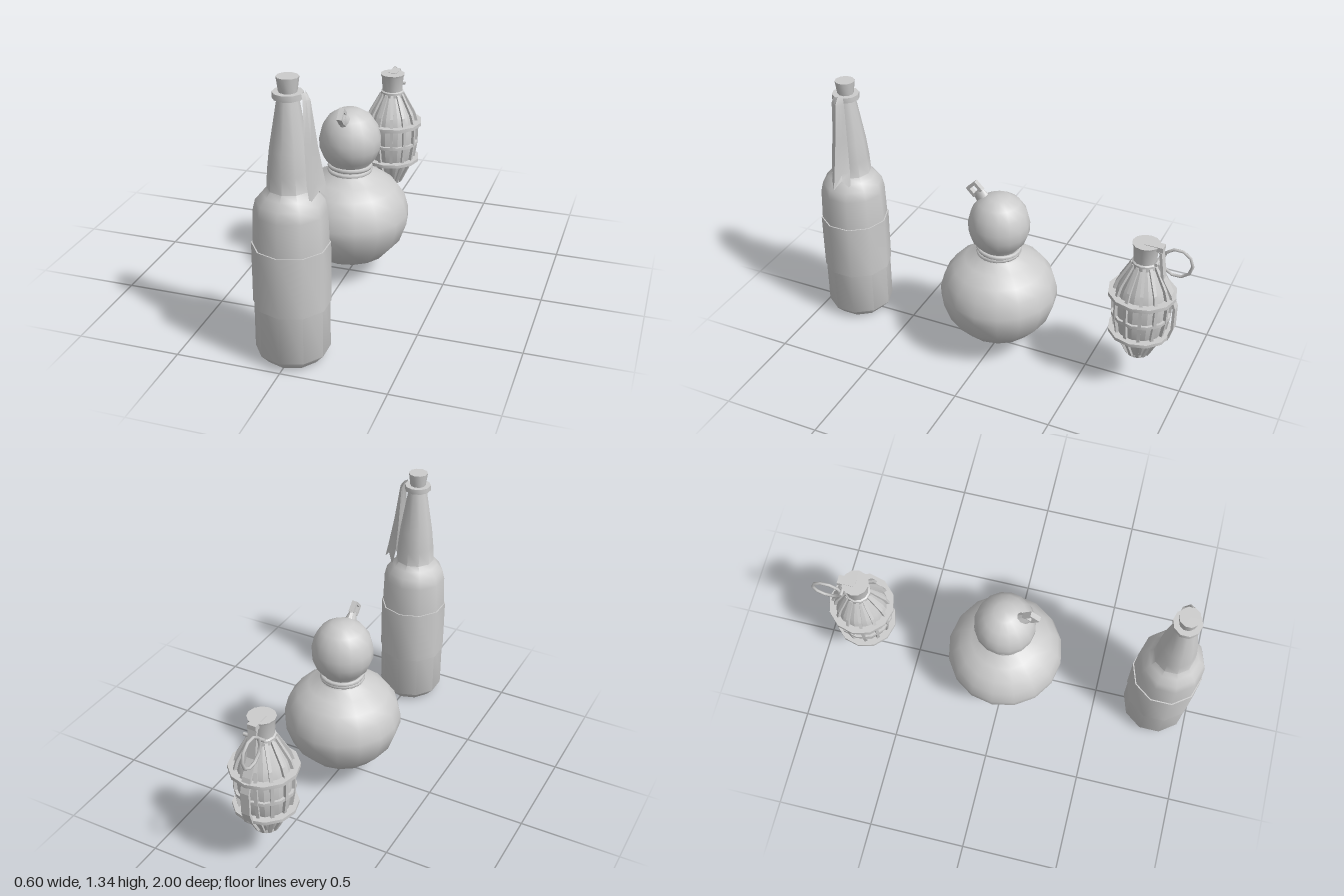
import * as THREE from 'three';
import { toCreasedNormals } from 'three/addons/utils/BufferGeometryUtils.js';

const grey = new THREE.MeshStandardMaterial({ color: 0xcccccc });
const cloth = new THREE.MeshStandardMaterial({ color: 0xcccccc, side: THREE.DoubleSide });
const vec = (list) => list.map(([x, y]) => new THREE.Vector2(x, y));

function add(parent, name, geometry, material = grey) {
  const mesh = new THREE.Mesh(geometry, material);
  mesh.name = name;
  parent.add(mesh);
  return mesh;
}

// Turned solid, profile given bottom to top as [radius, height]
const turned = (profile, sides, crease = 0.8) =>
  toCreasedNormals(new THREE.LatheGeometry(vec(profile), sides), crease);

// Square-edged hoop
const hoop = (inner, outer, y0, y1, sides) =>
  turned([[inner, y0], [outer, y0], [outer, y1], [inner, y1]], sides);

// Strip that follows a [radius, height] line, thickened outwards
function strip(line, thickness, width) {
  const outer = line.map(([r, y]) => [r + thickness, y]).reverse();
  const geometry = new THREE.ExtrudeGeometry(new THREE.Shape(vec([...line, ...outer])),
    { depth: width, bevelEnabled: false });
  return geometry.translate(0, 0, -width / 2);
}

// Folded cloth hanging beside the neck: rows of five points across the fold
function ragGeometry() {
  // [y, inner x, outer x, half width]
  const rows = [[1.28, 0.068, 0.078, 0.025], [1.25, 0.078, 0.1, 0.035],
    [1.05, 0.085, 0.13, 0.042], [0.88, 0.095, 0.163, 0.05], [0.8, 0.11, 0.178, 0.055]];
  const hem = [-0.005, 0.05, 0.01, 0.05, -0.005];
  const positions = [], index = [];
  rows.forEach(([y, inner, outer, half], i) => {
    for (let j = 0; j < 5; j++) {
      const t = (j - 2) / 2;
      const x = outer + (inner - outer) * Math.abs(t);
      positions.push(x, y + (i === rows.length - 1 ? hem[j] : 0), -t * half);
      if (i > 0 && j > 0) {
        const b = i * 5 + j, a = b - 5;
        index.push(a - 1, b - 1, a, a, b - 1, b);
      }
    }
  });
  const geometry = new THREE.BufferGeometry();
  geometry.setAttribute('position', new THREE.Float32BufferAttribute(positions, 3));
  geometry.setIndex(index);
  return toCreasedNormals(geometry, 0.5);
}

function createBottle() {
  const group = new THREE.Group();
  group.name = 'bottle';
  add(group, 'bottleGlass', turned([[0, 0], [0.13, 0], [0.171, 0.045], [0.171, 0.4], [0.17, 0.57],
    [0.164, 0.73], [0.152, 0.78], [0.122, 0.815], [0.101, 0.84], [0.096, 0.92], [0.085, 1.02],
    [0.047, 1.25]], 10));
  add(group, 'label', hoop(0.165, 0.176, 0.28, 0.572, 10));
  add(group, 'lip', hoop(0, 0.068, 1.248, 1.275, 10));
  add(group, 'cork', turned([[0, 1.27], [0.04, 1.27], [0.05, 1.342], [0, 1.342]], 10));
  add(group, 'rag', ragGeometry(), cloth);
  return group;
}

function createGourd() {
  const group = new THREE.Group();
  group.name = 'gourd';
  add(group, 'gourdBody', turned([[0, 0.085], [0.1, 0.087], [0.19, 0.125], [0.262, 0.205],
    [0.298, 0.305], [0.298, 0.35], [0.278, 0.425], [0.235, 0.485], [0.175, 0.53], [0.115, 0.56],
    [0.092, 0.583], [0.1, 0.605], [0.132, 0.64], [0.153, 0.695], [0.154, 0.745], [0.139, 0.805],
    [0.105, 0.855], [0.055, 0.886], [0, 0.892]], 16, 1.2));

  // Cord wound twice round the waist
  [[0.573, 0.04], [0.593, -0.05]].forEach(([y, tilt]) => {
    const cord = add(group, 'cord', new THREE.TorusGeometry(0.102, 0.012, 6, 20));
    cord.rotation.x = Math.PI / 2 + tilt;
    cord.position.y = y;
  });

  // Stem flattening towards a pierced tip
  const stem = new THREE.Group();
  stem.name = 'stem';
  const base = new THREE.CylinderGeometry(0.034, 0.039, 0.08, 10);
  const p = base.attributes.position;
  for (let i = 0; i < p.count; i++) if (p.getY(i) > 0) p.setX(i, p.getX(i) * 0.4);
  base.translate(0, 0.04, 0);
  add(stem, 'stemBase', toCreasedNormals(base, 0.8));
  const tip = new THREE.Shape(vec([[-0.034, 0.07], [0.034, 0.07], [0.033, 0.128], [-0.033, 0.128]]));
  tip.holes.push(new THREE.Path(vec([[-0.017, 0.084], [-0.017, 0.114], [0.017, 0.114], [0.017, 0.084]])));
  add(stem, 'stemTip', new THREE.ExtrudeGeometry(tip, { depth: 0.026, bevelEnabled: false })
    .translate(0, 0, -0.013).rotateY(Math.PI / 2));
  stem.position.set(0, 0.83, 0.06);
  stem.rotation.x = Math.PI / 4;
  group.add(stem);
  return group;
}

function createGrenade() {
  const group = new THREE.Group();
  group.name = 'grenade';
  const sides = 12;
  const line = [[0.052, 0.185], [0.118, 0.32], [0.134, 0.42], [0.138, 0.53], [0.118, 0.6], [0.055, 0.715]];
  add(group, 'shell', turned([[0, 0.185], ...line, [0, 0.715]], sides, 0.45));
  for (let i = 0; i < sides; i++) {
    const rib = add(group, 'rib', strip(line.map(([r, y]) => [r - 0.01, y]), 0.021, 0.016));
    rib.rotation.y = (i + 0.5) * Math.PI * 2 / sides;
  }

  // Raised bands round the shell
  add(group, 'upperBand', hoop(0.125, 0.168, 0.533, 0.552, sides));
  add(group, 'middleBand', hoop(0.12, 0.148, 0.42, 0.437, sides));
  add(group, 'lowerBand', hoop(0.11, 0.157, 0.318, 0.335, sides));
  add(group, 'foot', hoop(0, 0.058, 0.18, 0.195, sides));

  // Fuse, safety lever and pull ring
  add(group, 'fuse', turned([[0, 0.7], [0.064, 0.7], [0.064, 0.725], [0.056, 0.73],
    [0.062, 0.81], [0.068, 0.825], [0, 0.825]], sides));
  const lever = add(group, 'lever', strip([[0.03, 0.805], [0.07, 0.8], [0.08, 0.73], [0.09, 0.655],
    [0.135, 0.575], [0.16, 0.5], [0.16, 0.38], [0.138, 0.31]], 0.013, 0.045));
  lever.rotation.y = Math.PI / 2;
  add(group, 'leverCap', new THREE.BoxGeometry(0.045, 0.025, 0.09)).position.set(0, 0.815, -0.042);
  const pin = add(group, 'pin', new THREE.CylinderGeometry(0.009, 0.009, 0.11, 6));
  pin.rotation.z = Math.PI / 2;
  pin.position.set(0, 0.75, -0.068);
  const ring = add(group, 'pullRing', new THREE.TorusGeometry(0.074, 0.008, 6, 10));
  ring.rotation.y = Math.PI / 2;
  ring.position.set(-0.033, 0.73, -0.148);
  return group;
}

export function createModel() {
  const model = new THREE.Group();
  model.name = 'throwables';
  const place = (part, z) => { part.position.z = z; model.add(part); };
  place(createBottle(), 0.823);
  place(createGourd(), -0.012);
  place(createGrenade(), -0.77);
  return model;
}
